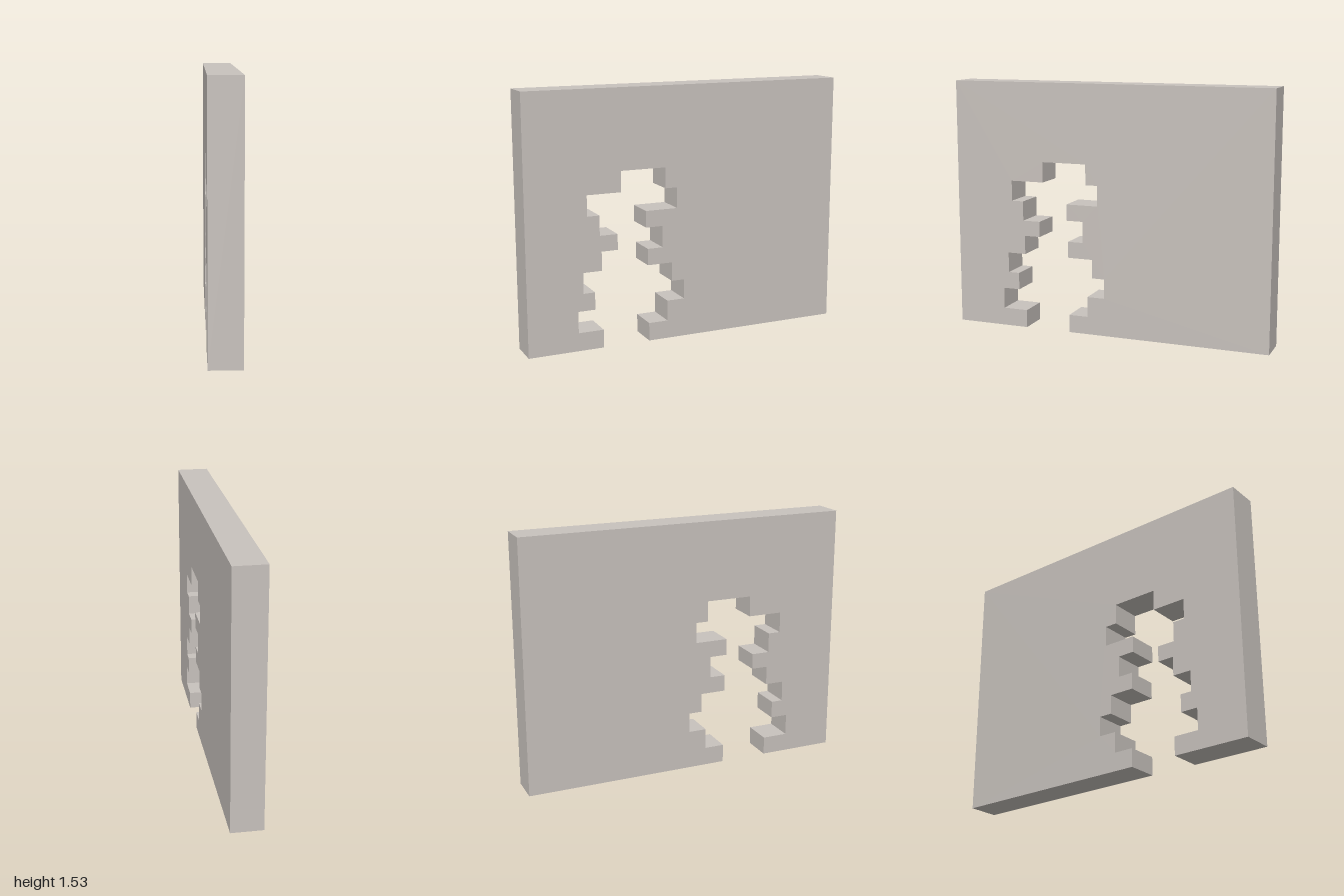
import * as THREE from 'three';

const HEIGHT = 1.53, HALF_LENGTH = 1, THICKNESS = 0.19;

// Each side of the breach as steps: [z of the edge, height where that step ends]
const frontSteps = [
  [0.54, 0.11], [0.695, 0.24], [0.59, 0.345], [0.66, 0.47], [0.545, 0.585],
  [0.445, 0.68], [0.555, 0.8], [0.63, 0.925], [0.42, 1.05],
];
const backSteps = [
  [0.25, 0.11], [0.13, 0.235], [0.02, 0.355], [0.1, 0.47], [0.255, 0.57],
  [0.16, 0.7], [0.265, 0.8], [0.065, 0.925], [0.14, 1.05],
];

// Turns steps into a staircase of corner points, from the ground up
function staircase(steps) {
  const points = [];
  let y = 0;
  for (const [z, top] of steps) {
    points.push(new THREE.Vector2(z, y), new THREE.Vector2(z, top));
    y = top;
  }
  return points;
}

export function createModel() {
  const stone = new THREE.MeshStandardMaterial({ color: 0xc8c2bd });
  stone.name = 'stone';

  // Wall outline, open at the ground where the breach cuts through
  const outline = new THREE.Shape([
    new THREE.Vector2(-HALF_LENGTH, 0),
    ...staircase(backSteps),
    ...staircase(frontSteps).reverse(),
    new THREE.Vector2(HALF_LENGTH, 0),
    new THREE.Vector2(HALF_LENGTH, HEIGHT),
    new THREE.Vector2(-HALF_LENGTH, HEIGHT),
  ]);
  const geometry = new THREE.ExtrudeGeometry(outline, { depth: THICKNESS, bevelEnabled: false });
  geometry.translate(0, 0, -THICKNESS / 2);
  geometry.rotateY(-Math.PI / 2); // outline runs along z, thickness along x

  const wall = new THREE.Mesh(geometry, stone);
  wall.name = 'breachedWall';

  const model = new THREE.Group();
  model.name = 'wallWithBreach';
  model.add(wall);
  return model;
}
